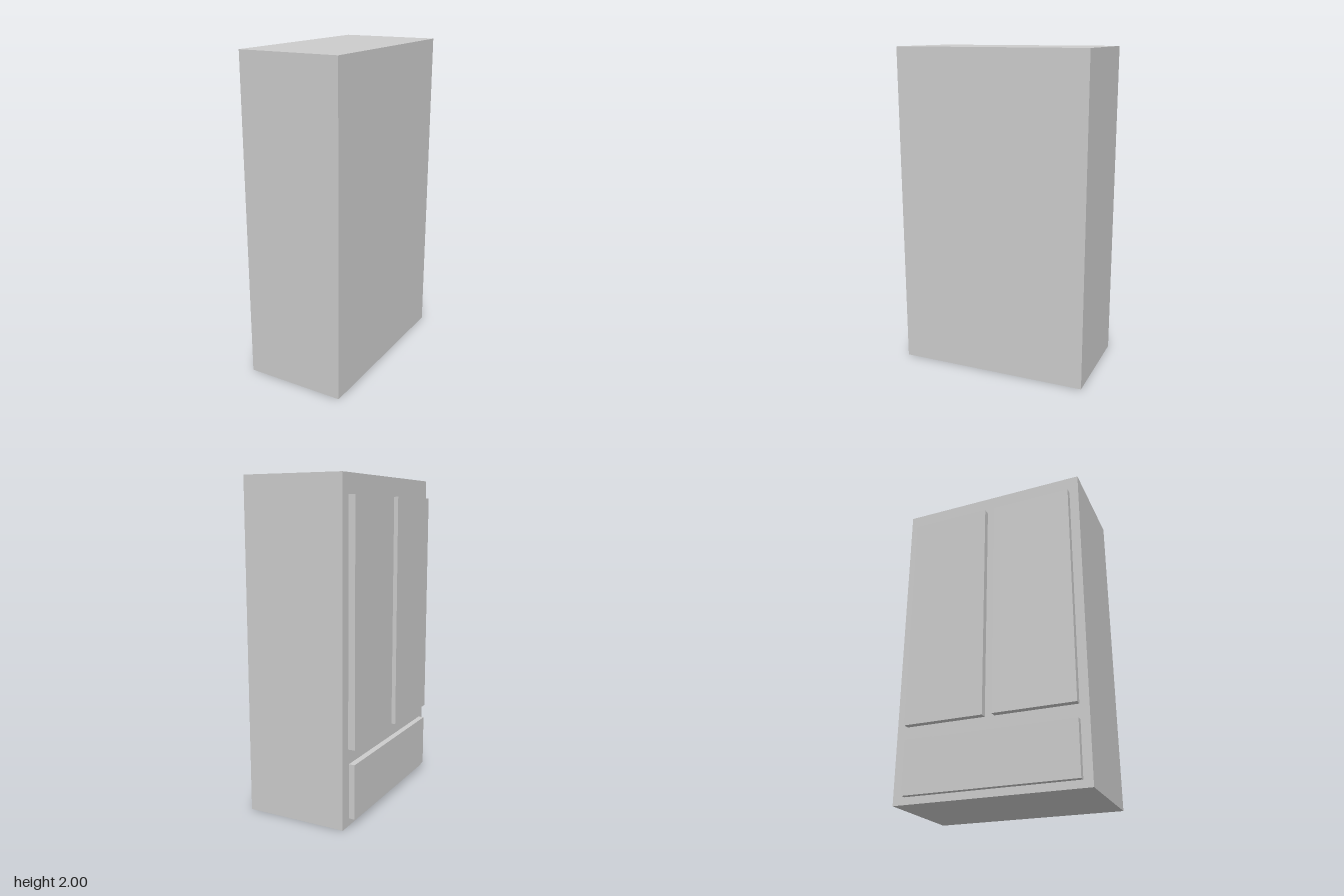
import * as THREE from 'three';

const material = new THREE.MeshStandardMaterial({ color: 0xcccccc, flatShading: true });

// Box given by its lower and upper corners
function block(name, [x0, y0, z0], [x1, y1, z1]) {
  const mesh = new THREE.Mesh(new THREE.BoxGeometry(x1 - x0, y1 - y0, z1 - z0), material);
  mesh.name = name;
  mesh.position.set((x0 + x1) / 2, (y0 + y1) / 2, (z0 + z1) / 2);
  return mesh;
}

export function createModel() {
  const group = new THREE.Group();
  group.name = 'cabinet';
  const face = -0.295; // plane the doors and drawer sit on

  // Plain closed carcass
  group.add(block('cabinetBody', [face, 0, -0.597], [0.337, 2, 0.597]));

  // Two tall doors side by side
  group.add(block('backDoor', [-0.337, 0.465, -0.53], [face, 1.885, -0.025]));
  group.add(block('frontDoor', [-0.337, 0.465, 0.035], [face, 1.885, 0.54]));

  // Wide drawer below, slightly thinner than the doors
  group.add(block('drawerFront', [-0.332, 0.045, -0.522], [face, 0.375, 0.542]));

  return group;
}
